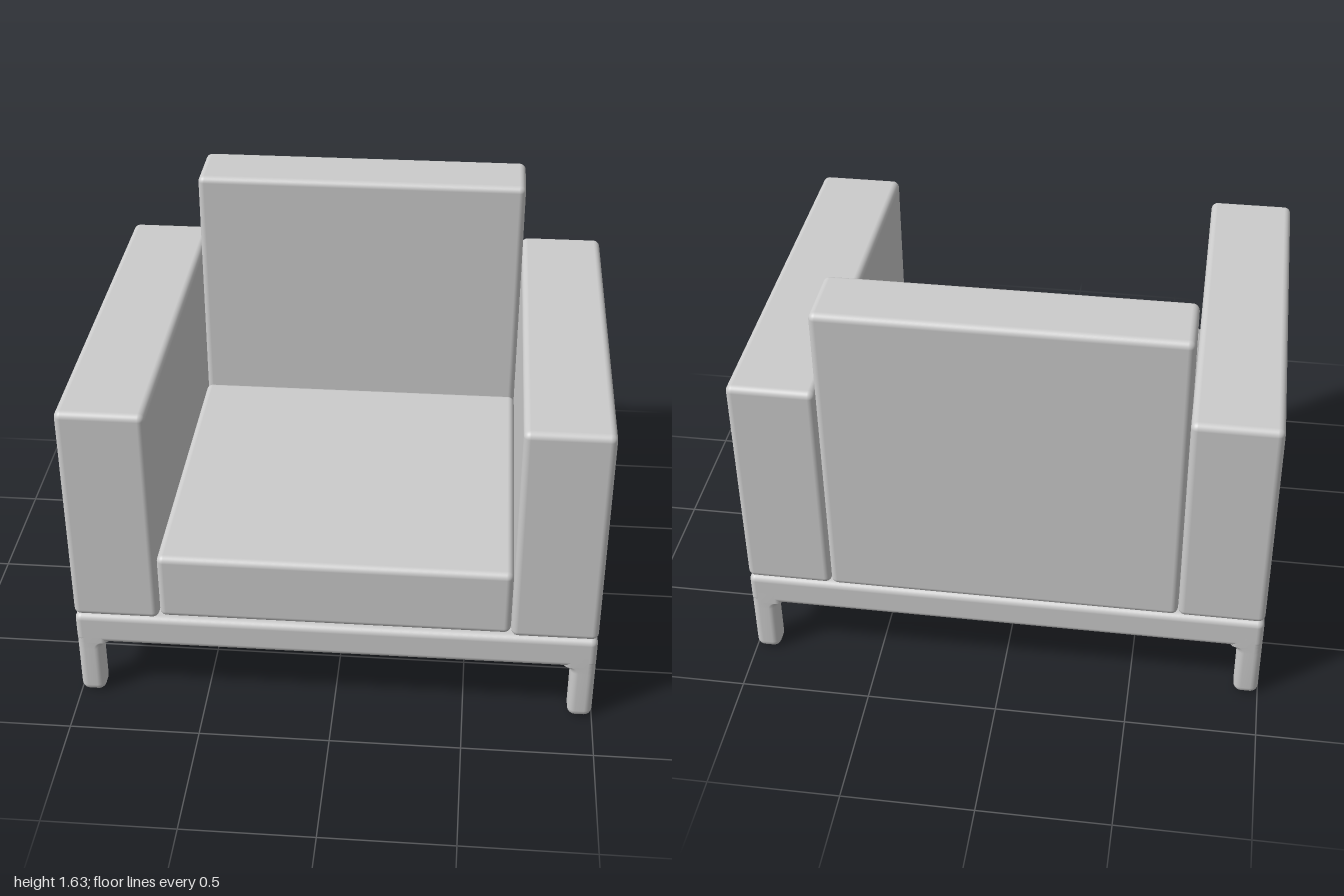
import * as THREE from 'three';
import { RoundedBoxGeometry } from 'three/addons/geometries/RoundedBoxGeometry.js';

const material = new THREE.MeshStandardMaterial({ color: 0xcccccc });

// Rounded block given by its extents on each axis
function block(name, [x0, x1], [y0, y1], [z0, z1], radius = 0.026) {
  const mesh = new THREE.Mesh(new RoundedBoxGeometry(x1 - x0, y1 - y0, z1 - z0, 4, radius), material);
  mesh.position.set((x0 + x1) / 2, (y0 + y1) / 2, (z0 + z1) / 2);
  mesh.name = name;
  return mesh;
}

// Square leg with its outer corner at the local origin: rounded foot, inner faces flaring into the frame
function legGeometry(width, radius, frameBottom, fillet) {
  const levels = [];
  const steps = 5, arc = 5;
  for (let i = 0; i <= steps; i++) {
    const t = (i / steps) * Math.PI / 2;
    levels.push({ y: radius * (1 - Math.cos(t)), inset: radius * 0.9 * (1 - Math.sin(t)), flare: 0 });
  }
  for (let i = 0; i <= steps; i++) {
    const t = (i / steps) * Math.PI / 2;
    levels.push({ y: frameBottom - fillet + fillet * Math.sin(t), inset: 0, flare: fillet * (1 - Math.cos(t)) });
  }
  levels.push({ y: frameBottom + 0.05, inset: 0, flare: fillet });

  const positions = [-width / 2, 0, -width / 2];
  const index = [];
  const n = 4 * (arc + 1);
  for (const { y, inset, flare } of levels) {
    const r = radius - inset;
    const hi = -inset - r, lo = -width + inset - flare + r;
    [[hi, hi], [lo, hi], [lo, lo], [hi, lo]].forEach(([cx, cz], corner) => {
      for (let k = 0; k <= arc; k++) {
        const a = (corner + k / arc) * Math.PI / 2;
        positions.push(cx + r * Math.cos(a), y, cz + r * Math.sin(a));
      }
    });
  }
  for (let i = 0; i < n; i++) {
    const next = (i + 1) % n;
    index.push(0, 1 + i, 1 + next);
    for (let j = 0; j < levels.length - 1; j++) {
      const a = 1 + j * n + i, b = 1 + j * n + next;
      index.push(a, a + n, b, b, a + n, b + n);
    }
  }
  const geometry = new THREE.BufferGeometry();
  geometry.setAttribute('position', new THREE.Float32BufferAttribute(positions, 3));
  geometry.setIndex(index);
  geometry.computeVertexNormals();
  return geometry;
}

export function createModel() {
  const model = new THREE.Group();
  model.name = 'armchair';
  const depth = 0.79, frameBottom = 0.243, frameTop = 0.376;

  // Base frame
  model.add(block('frame', [-1, 1], [frameBottom, frameTop], [-depth, depth]));

  // Legs, one turned into each corner
  const leg = legGeometry(0.095, 0.03, frameBottom, 0.03);
  [[1, 1], [1, -1], [-1, -1], [-1, 1]].forEach(([sx, sz], i) => {
    const mesh = new THREE.Mesh(leg, material);
    mesh.name = (sz > 0 ? 'front' : 'back') + (sx > 0 ? 'Left' : 'Right') + 'Leg';
    mesh.rotation.y = i * Math.PI / 2;
    mesh.position.set(sx, 0, sz * depth);
    model.add(mesh);
  });

  // Upholstery
  model.add(block('leftArm', [0.671, 1], [frameTop, 1.286], [-depth, depth]));
  model.add(block('rightArm', [-1, -0.671], [frameTop, 1.286], [-depth, depth]));
  model.add(block('seat', [-0.67, 0.67], [frameTop, 0.655], [-0.52, 0.775]));
  model.add(block('backrest', [-0.67, 0.67], [frameTop, 1.627], [-depth, -0.52]));

  return model;
}
